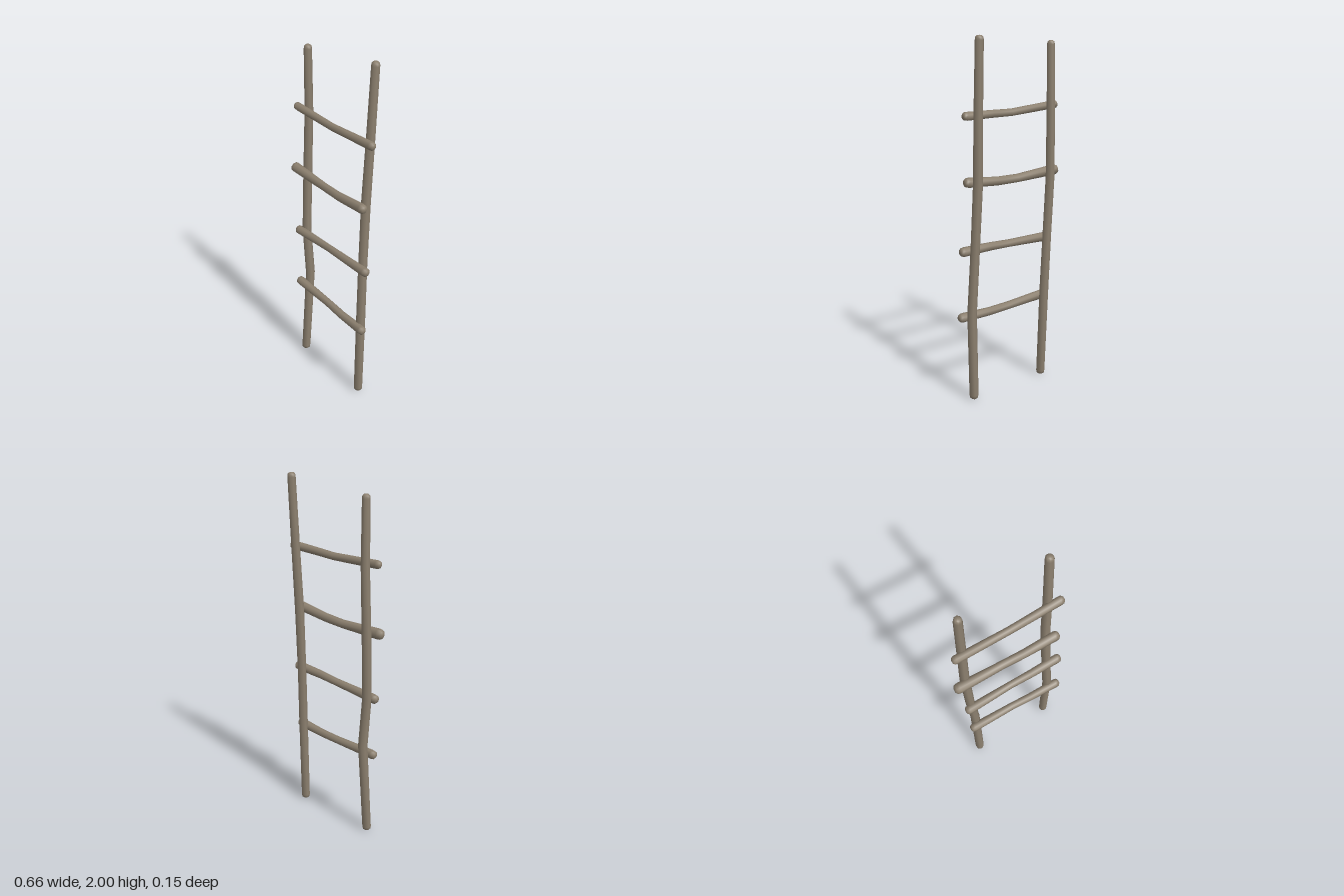
import * as THREE from 'three';

const SIDES = 8;

// Rough stick: rings of SIDES points along [x, y, z, radius] stations, with domed ends
function stick(name, stations, material) {
  const pts = stations.map(([x, y, z]) => new THREE.Vector3(x, y, z));
  const n = pts.length;
  const axis = pts[n - 1].clone().sub(pts[0]).normalize();
  const ref = Math.abs(axis.y) > 0.7 ? new THREE.Vector3(0, 0, 1) : new THREE.Vector3(0, 1, 0);
  const rings = [];
  const addRing = (c, dir, r) => rings.push({ c, dir, r });
  const first = pts[1].clone().sub(pts[0]).normalize();
  const last = pts[n - 1].clone().sub(pts[n - 2]).normalize();
  const r0 = stations[0][3], r1 = stations[n - 1][3];

  // dome, body, dome
  [[0, 0], [0.08, 0.55], [0.4, 0.9]].forEach(([d, s]) =>
    addRing(pts[0].clone().addScaledVector(first, d * r0), first, r0 * s));
  for (let i = 0; i < n; i++) {
    const dir = pts[Math.min(i + 1, n - 1)].clone().sub(pts[Math.max(i - 1, 0)]).normalize();
    const c = pts[i].clone();
    if (i === 0) c.addScaledVector(first, r0);
    if (i === n - 1) c.addScaledVector(last, -r1);
    addRing(c, dir, stations[i][3]);
  }
  [[0.4, 0.9], [0.08, 0.55], [0, 0]].forEach(([d, s]) =>
    addRing(pts[n - 1].clone().addScaledVector(last, -d * r1), last, r1 * s));

  const pos = [], idx = [];
  rings.forEach(({ c, dir, r }) => {
    const u = ref.clone().addScaledVector(dir, -ref.dot(dir)).normalize();
    const v = dir.clone().cross(u);
    for (let k = 0; k < SIDES; k++) {
      const a = ((k + 0.5) / SIDES) * Math.PI * 2;
      const p = c.clone().addScaledVector(u, Math.cos(a) * r).addScaledVector(v, Math.sin(a) * r);
      pos.push(p.x, p.y, p.z);
    }
  });
  for (let i = 0; i < rings.length - 1; i++) {
    for (let k = 0; k < SIDES; k++) {
      const a = i * SIDES + k, b = i * SIDES + (k + 1) % SIDES;
      const c = a + SIDES, d = b + SIDES;
      if (rings[i].r > 0) idx.push(a, b, c);
      if (rings[i + 1].r > 0) idx.push(b, d, c);
    }
  }
  // close the fans at the tips
  const geo = new THREE.BufferGeometry();
  geo.setAttribute('position', new THREE.Float32BufferAttribute(pos, 3));
  geo.setIndex(idx);
  geo.computeVertexNormals();
  // tip vertices share one normal along the stick
  const nor = geo.attributes.normal;
  for (let k = 0; k < SIDES; k++) {
    nor.setXYZ(k, -first.x, -first.y, -first.z);
    nor.setXYZ((rings.length - 1) * SIDES + k, last.x, last.y, last.z);
  }
  const mesh = new THREE.Mesh(geo, material);
  mesh.name = name;
  return mesh;
}

export function createModel() {
  const group = new THREE.Group();
  group.name = 'ladder';
  const wood = new THREE.MeshStandardMaterial({ color: 0x8c806f });
  wood.name = 'weathered wood';

  // Upright poles, slightly crooked and leaning back
  group.add(stick('leftPole', [
    [0.256, 0.005, 0.02, 0.026], [0.263, 0.52, 0.018, 0.027], [0.25, 0.88, 0, 0.026],
    [0.241, 1.25, -0.02, 0.027], [0.246, 1.6, -0.035, 0.025], [0.248, 2.0, -0.054, 0.023],
  ], wood));
  group.add(stick('rightPole', [
    [-0.236, 0.005, 0.014, 0.026], [-0.226, 0.57, -0.022, 0.027], [-0.246, 0.87, -0.018, 0.026],
    [-0.25, 1.22, -0.035, 0.026], [-0.241, 1.6, -0.043, 0.024], [-0.238, 1.957, -0.04, 0.022],
  ], wood));

  // Rungs tied across the front, from bottom to top
  const rungs = [
    [[-0.284, 0.51, 0.02, 0.026], [0, 0.498, 0.03, 0.022], [0.13, 0.492, 0.04, 0.023], [0.328, 0.497, 0.053, 0.026]],
    [[-0.294, 0.857, 0.012, 0.026], [0, 0.869, 0.02, 0.021], [0.13, 0.874, 0.028, 0.023], [0.325, 0.877, 0.034, 0.026]],
    [[-0.331, 1.245, -0.002, 0.029], [-0.05, 1.231, 0.01, 0.023], [0.08, 1.232, 0.02, 0.024], [0.291, 1.25, 0.033, 0.027]],
    [[-0.312, 1.612, -0.01, 0.022], [0, 1.594, -0.002, 0.02], [0.13, 1.597, 0.001, 0.021], [0.315, 1.6, 0.004, 0.023]],
  ];
  rungs.forEach((r, i) => group.add(stick('rung' + (i + 1), r, wood)));
  return group;
}
